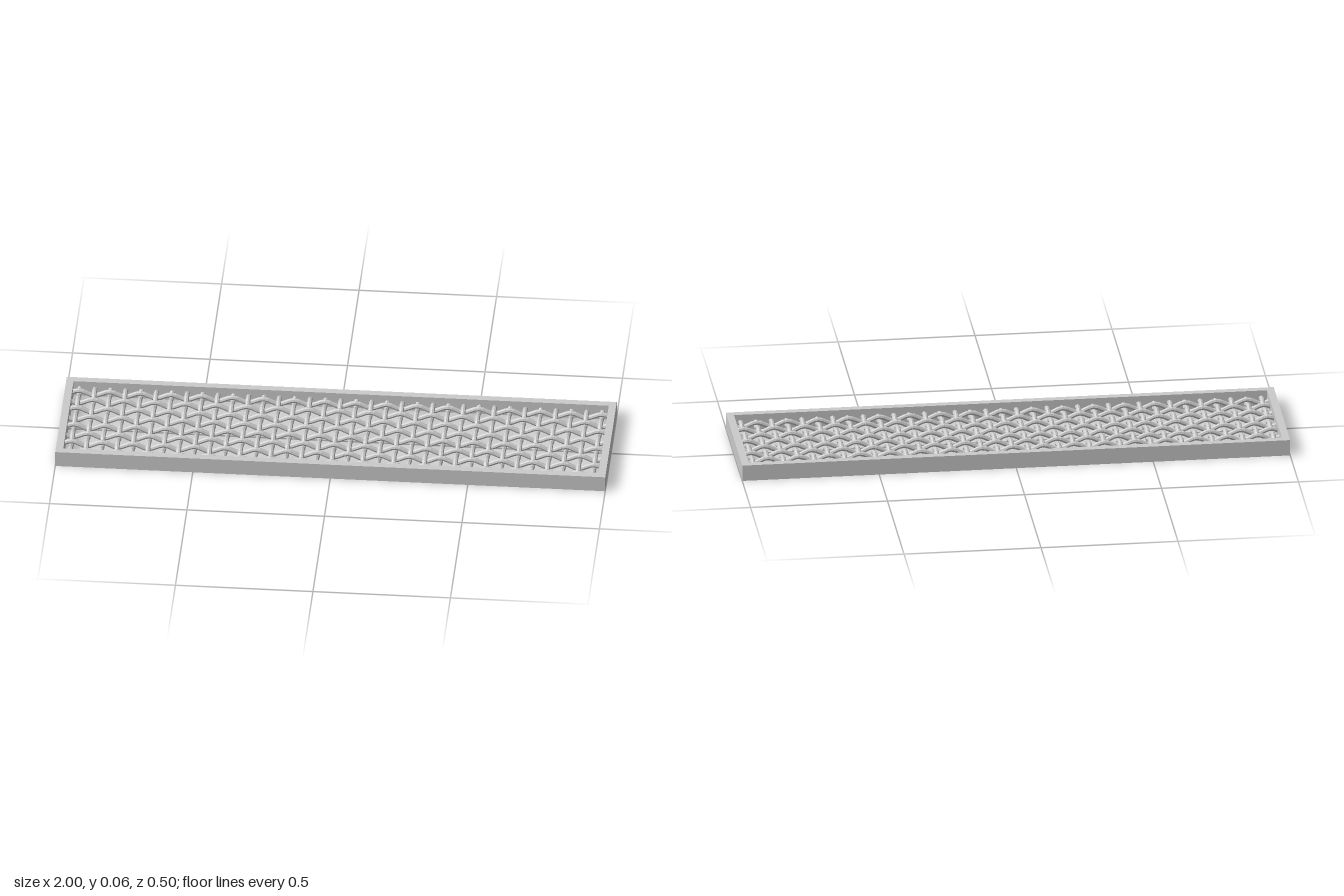
import * as THREE from 'three';

const LENGTH = 2, WIDTH = 0.5, HEIGHT = 0.06, WALL = 0.027;
const PITCH = 0.0559, RADIUS = 0.009, COLS = 35, ROWS = 8;

const rectangle = (Target, w, d) => new Target([
  new THREE.Vector2(-w / 2, -d / 2), new THREE.Vector2(w / 2, -d / 2),
  new THREE.Vector2(w / 2, d / 2), new THREE.Vector2(-w / 2, d / 2),
]);

// One wire waving over and under the wires it crosses
class WovenWire extends THREE.Curve {
  constructor(alongX, offset, half, phase, sign) {
    super();
    Object.assign(this, { alongX, offset, half, phase, sign });
  }
  getPoint(t, target = new THREE.Vector3()) {
    const s = (2 * t - 1) * this.half;
    const y = HEIGHT / 2 + this.sign * RADIUS * Math.cos(Math.PI * (s / PITCH + this.phase));
    return this.alongX ? target.set(s, y, this.offset) : target.set(this.offset, y, s);
  }
}

export function createModel() {
  const group = new THREE.Group();
  const material = new THREE.MeshStandardMaterial({ color: 0xcccccc, flatShading: true });

  // Rectangular border, open in the middle
  const outline = rectangle(THREE.Shape, LENGTH, WIDTH);
  outline.holes.push(rectangle(THREE.Path, LENGTH - 2 * WALL, WIDTH - 2 * WALL));
  const border = new THREE.ExtrudeGeometry(outline, { depth: HEIGHT, bevelEnabled: false });
  border.rotateX(-Math.PI / 2);
  const frame = new THREE.Mesh(border, material);
  frame.name = 'frame';
  group.add(frame);

  // Woven wire mesh, ends set into the border
  const mesh = new THREE.Group();
  mesh.name = 'wireMesh';
  group.add(mesh);
  const addWires = (name, count, crossing, alongX, half, sign) => {
    for (let i = 0; i < count; i++) {
      const offset = (i - (count - 1) / 2) * PITCH;
      const curve = new WovenWire(alongX, offset, half, (crossing - 1) / 2 + i, sign);
      const segments = Math.round(2 * half / PITCH * 4);
      const wire = new THREE.Mesh(new THREE.TubeGeometry(curve, segments, RADIUS, 8), material);
      wire.name = name;
      mesh.add(wire);
    }
  };
  addWires('longWire', ROWS, COLS, true, LENGTH / 2 - WALL + 0.005, 1);
  addWires('crossWire', COLS, ROWS, false, WIDTH / 2 - WALL + 0.005, -1);

  return group;
}
